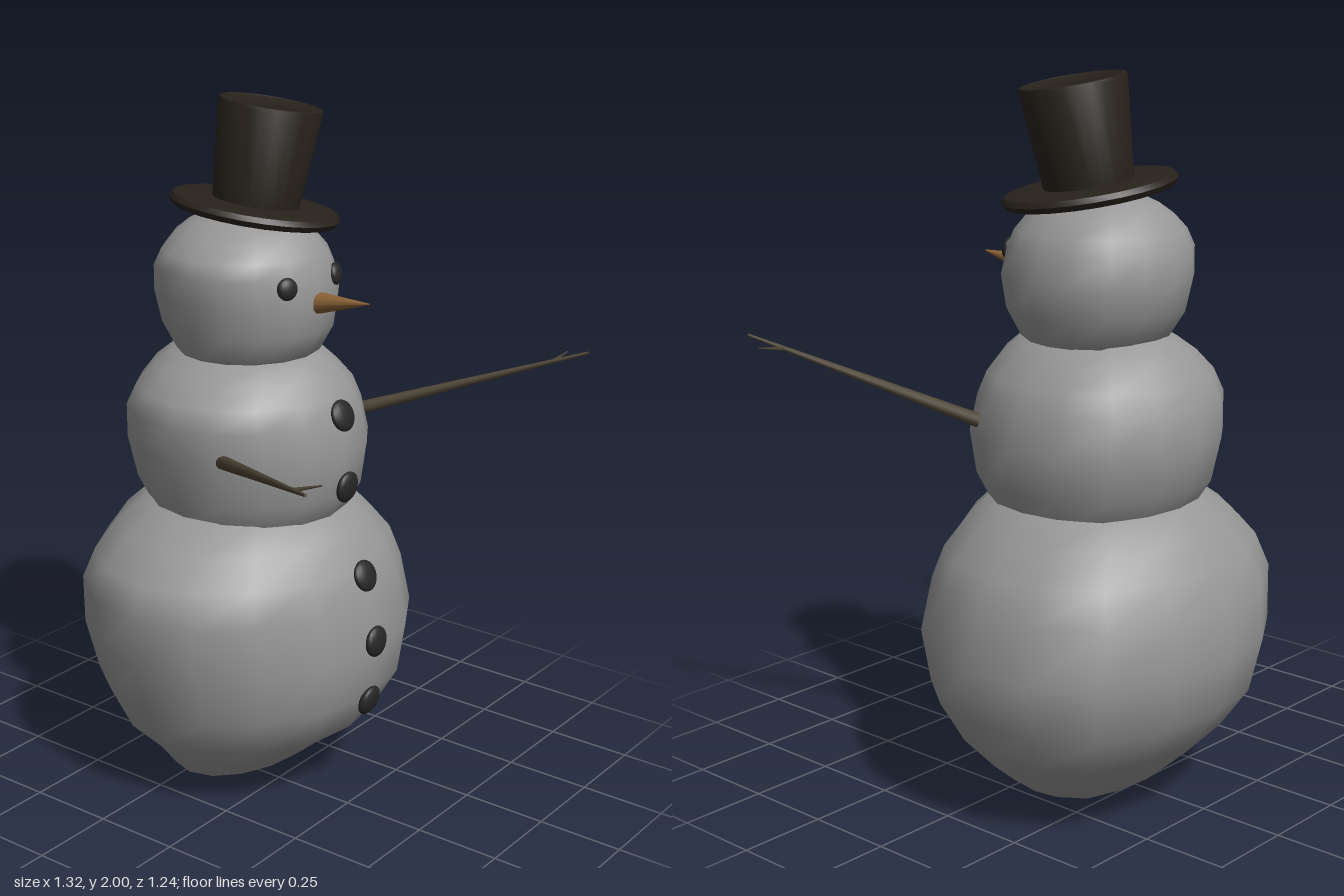
import * as THREE from 'three';
import { mergeVertices, toCreasedNormals } from 'three/addons/utils/BufferGeometryUtils.js';

const mat = (color) => new THREE.MeshStandardMaterial({ color });
const snow = mat(0x989898);
const coal = mat(0x282626);
const felt = mat(0x28221c);
const wood = mat(0x4b4233);
const carrot = mat(0x8a6236);
const UP = new THREE.Vector3(0, 1, 0);
const FRONT = new THREE.Vector3(0, 0, 1);
const V = (p) => new THREE.Vector3(...p);

// Lumpy snowball: height, then reach to -x, +x, -z, +z
const RINGS = [
  [-0.48, 0, 0, 0, 0],
  [-0.47, 0.14, 0.12, 0.08, 0.08],
  [-0.42, 0.28, 0.26, 0.18, 0.18],
  [-0.36, 0.32, 0.34, 0.25, 0.25],
  [-0.27, 0.41, 0.42, 0.34, 0.37],
  [-0.15, 0.46, 0.49, 0.43, 0.44],
  [0, 0.50, 0.52, 0.465, 0.46],
  [0.15, 0.52, 0.475, 0.45, 0.44],
  [0.24, 0.49, 0.44, 0.405, 0.405],
  [0.32, 0.40, 0.36, 0.355, 0.355],
  [0.38, 0.31, 0.30, 0.29, 0.29],
  [0.44, 0.18, 0.18, 0.18, 0.18],
  [0.48, 0, 0, 0, 0],
];

// depth stretches along z, belly lengthens the half below the middle
function snowball(name, at, size, depth, belly) {
  const seg = 16, last = RINGS.length - 2, pos = [], index = [];
  for (const [y, xm, xp, zm, zp] of RINGS) {
    for (let j = 0; j < seg; j++) {
      const a = (j / seg) * Math.PI * 2, c = Math.cos(a), s = Math.sin(a);
      // bulge towards the back on the +x side
      const r = size * (1 + 0.1 * Math.max(0, Math.cos(a + Math.PI / 4)) ** 12);
      pos.push(c * (c < 0 ? xm : xp) * r, y * size * (y < 0 ? belly : 1), s * (s < 0 ? zm : zp) * r * depth);
    }
  }
  for (let i = 0; i <= last; i++) {
    for (let j = 0; j < seg; j++) {
      const a = i * seg + j, b = i * seg + (j + 1) % seg, c = a + seg, d = b + seg;
      if (i < last) index.push(c, d, b);
      if (i > 0) index.push(a, c, b);
    }
  }
  let geo = new THREE.BufferGeometry();
  geo.setAttribute('position', new THREE.Float32BufferAttribute(pos, 3));
  geo.setIndex(index);
  geo = mergeVertices(geo);
  geo.computeVertexNormals();
  const mesh = new THREE.Mesh(geo, snow);
  mesh.name = name;
  mesh.position.set(...at);
  return mesh;
}

// Tapered round stick between two points
function stick(name, from, to, r0, r1, material, sides = 10) {
  const a = V(from), b = V(to), dir = b.clone().sub(a);
  const mesh = new THREE.Mesh(new THREE.CylinderGeometry(r1, r0, dir.length(), sides), material);
  mesh.name = name;
  mesh.position.copy(a).add(b).multiplyScalar(0.5);
  mesh.quaternion.setFromUnitVectors(UP, dir.normalize());
  return mesh;
}

// Flattened lump of coal facing along a direction
function pebble(name, at, facing, radius, depth) {
  const mesh = new THREE.Mesh(new THREE.SphereGeometry(1, 16, 12), coal);
  mesh.name = name;
  mesh.position.set(...at);
  mesh.scale.set(radius, radius, depth);
  mesh.quaternion.setFromUnitVectors(FRONT, V(facing).normalize());
  return mesh;
}

export function createModel() {
  const model = new THREE.Group();
  model.name = 'snowman';

  // Three stacked snowballs
  model.add(snowball('lowerBody', [0.06, 0.48, -0.16], 1, 1, 1));
  model.add(snowball('upperBody', [0.055, 1.04, -0.155], 0.67, 1.13, 1.2));
  model.add(snowball('head', [0.053, 1.465, -0.155], 0.5, 1.14, 1.2));

  // Buttons: height, depth, upward tilt
  const buttons = [[1.155, 0.178, 0.4], [0.95, 0.196, -0.1], [0.7, 0.262, 0.4], [0.51, 0.303, 0.05], [0.32, 0.282, -0.25]];
  buttons.forEach(([y, z, tilt], i) => {
    model.add(pebble('button' + (i + 1), [0.055, y, z], [0, tilt, 1], 0.045, 0.018));
  });

  // Eyes
  model.add(pebble('rightEye', [-0.065, 1.52, 0.077], [-0.35, 0.15, 1], 0.031, 0.017));
  model.add(pebble('leftEye', [0.153, 1.52, 0.077], [0.3, 0.15, 1], 0.031, 0.017));

  // Nose
  model.add(stick('nose', [0.05, 1.458, 0.06], [0.053, 1.484, 0.262], 0.037, 0.002, carrot, 12));

  // Arms with a twig near the tip
  const arms = [
    ['rightArm', [-0.225, 1.055, -0.03], [-0.66, 1.228, 0.585], [-0.6, 1.204, 0.5], [-0.57, 1.222, 0.567]],
    ['leftArm', [0.315, 1.072, 0.02], [0.625, 1.28, 0.617], [0.578, 1.246, 0.525], [0.66, 1.26, 0.532]],
  ];
  for (const [name, root, tip, fork, twigTip] of arms) {
    const arm = new THREE.Group();
    arm.name = name;
    arm.add(stick('branch', root, tip, 0.02, 0.004, wood));
    arm.add(stick('twig', fork, twigTip, 0.006, 0.002, wood, 6));
    model.add(arm);
  }

  // Top hat, tilted forward and to its left
  const profile = [
    [0, -0.018], [0.2, -0.02], [0.228, -0.016], [0.239, 0], [0.23, 0.014], [0.2, 0.019],
    [0.122, 0.019], [0.145, 0.282], [0.143, 0.289], [0.136, 0.291], [0.132, 0.288], [0, 0.288],
  ].map(([r, y]) => new THREE.Vector2(r, y));
  const hat = new THREE.Mesh(toCreasedNormals(new THREE.LatheGeometry(profile, 24), 0.7), felt);
  hat.name = 'topHat';
  hat.position.set(0.072, 1.69, -0.14);
  hat.quaternion.setFromUnitVectors(UP, V([0.13, 1, 0.1]).normalize());
  model.add(hat);

  return model;
}
